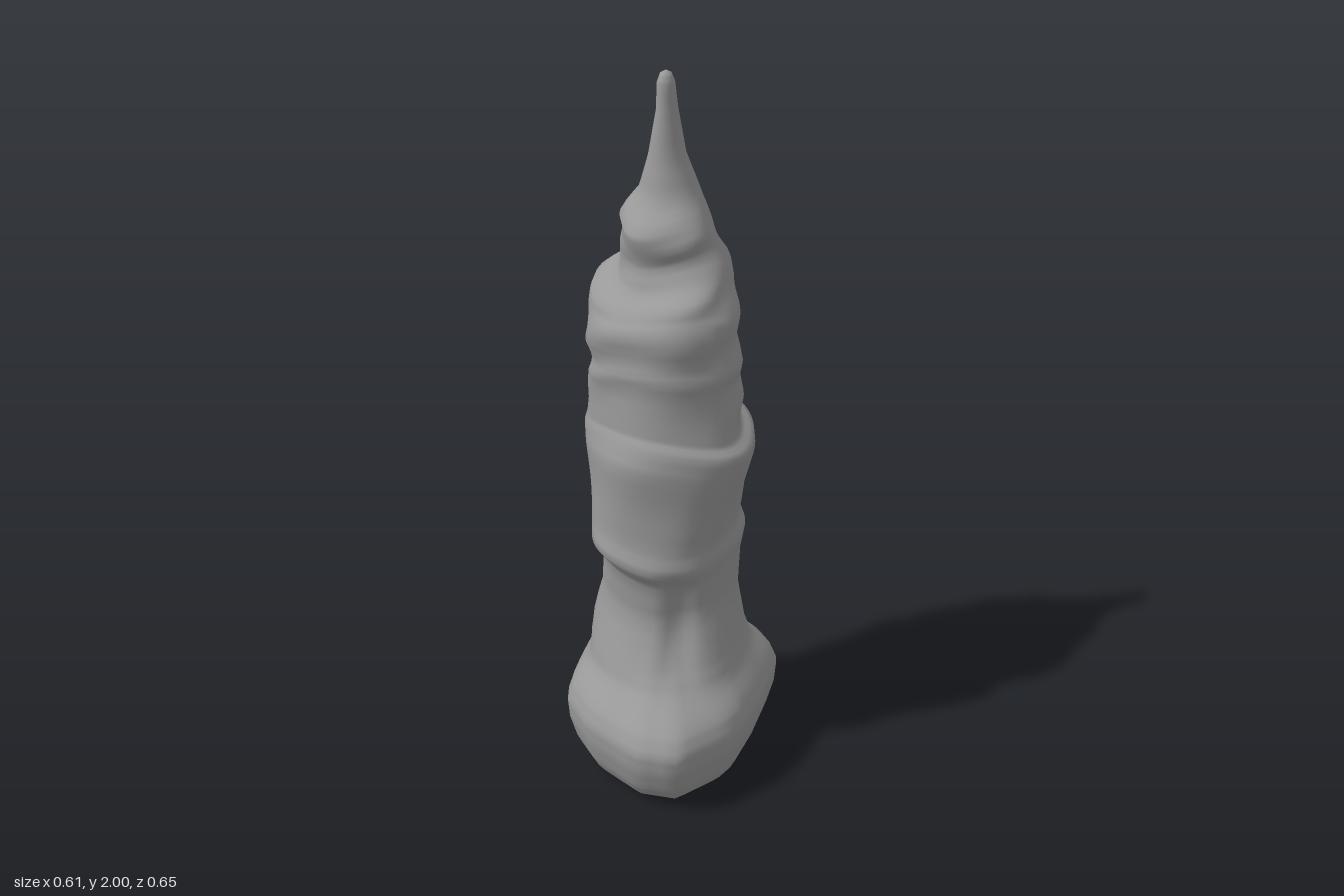
import * as THREE from 'three';

const SEG = 64, STEPS = 3;

// Cross-sections up the spire: height, reach to right (-x), left (+x), front (+z), back (-z)
const RINGS = [
  [0.03, 0.255, 0.25, 0.285, 0.265],
  [0.07, 0.278, 0.272, 0.308, 0.285],
  [0.14, 0.297, 0.302, 0.328, 0.30],
  [0.2, 0.307, 0.295, 0.325, 0.322],
  [0.25, 0.285, 0.28, 0.29, 0.315],
  [0.31, 0.25, 0.225, 0.22, 0.25],
  [0.37, 0.232, 0.2, 0.208, 0.235],
  [0.51, 0.196, 0.175, 0.165, 0.205],
  [0.63, 0.178, 0.18, 0.18, 0.2],
  [0.695, 0.188, 0.192, 0.232, 0.215],
  [0.75, 0.204, 0.186, 0.215, 0.192],
  [0.86, 0.21, 0.205, 0.215, 0.195],
  [0.97, 0.215, 0.235, 0.225, 0.218],
  [1.03, 0.23, 0.248, 0.205, 0.2],
  [1.06, 0.22, 0.214, 0.19, 0.168],
  [1.2, 0.21, 0.205, 0.19, 0.182],
  [1.26, 0.207, 0.207, 0.195, 0.16],
  [1.37, 0.214, 0.205, 0.205, 0.145],
  [1.42, 0.2, 0.19, 0.18, 0.15],
  [1.46, 0.16, 0.158, 0.122, 0.162],
  [1.52, 0.14, 0.125, 0.112, 0.15],
  [1.57, 0.12, 0.125, 0.12, 0.115],
  [1.62, 0.108, 0.1, 0.138, 0.105],
  [1.68, 0.085, 0.068, 0.07, 0.09],
  [1.78, 0.052, 0.036, 0.05, 0.052],
  [1.9, 0.025, 0.023, 0.038, 0.024],
  [1.97, 0.022, 0.02, 0.035, 0.013],
  [1.992, 0.015, 0.012, 0.026, 0.004],
];

// Outline of the spreading foot (x, z)
const FOOT = [
  [0.305, 0.1], [0.275, 0.27], [0.17, 0.327], [-0.02, 0.315], [-0.14, 0.265], [-0.18, 0.22],
  [-0.307, -0.02], [-0.22, -0.28], [-0.15, -0.325], [0.07, -0.32], [0.165, -0.28], [0.25, -0.1], [0.298, 0.03],
];

// Distance from the axis to the foot outline in a given direction
function footRadius(a) {
  const c = Math.cos(a), s = Math.sin(a);
  for (let i = 0; i < FOOT.length; i++) {
    const [x1, z1] = FOOT[i], [x2, z2] = FOOT[(i + 1) % FOOT.length];
    const dx = x2 - x1, dz = z2 - z1, den = c * dz - s * dx;
    if (Math.abs(den) < 1e-9) continue;
    const t = (x1 * dz - z1 * dx) / den, u = (x1 * s - z1 * c) / den;
    if (t > 0 && u >= -1e-6 && u <= 1 + 1e-6) return t;
  }
  return 0.3;
}

const { smoothstep, lerp } = THREE.MathUtils;
// Flat-topped bump centred on 0 with half-width w
const bump = (v, w) => Math.exp(-((v / w) ** 4));
const angleGap = (a, b) => Math.atan2(Math.sin(a - b), Math.cos(a - b));

function surfacePoint([y, right, left, front, back], a) {
  const c = Math.cos(a), s = Math.sin(a);
  // Oval section, merging into the angular foot near the ground
  const w = 1 - smoothstep(y, 0.2, 0.45);
  const r = footRadius(a) * (left + right + front + back) / 1.25;
  const x = lerp((left - right) / 2 + c * (left + right) / 2, c * r, w);
  const z = lerp((front - back) / 2 + s * (front + back) / 2, s * r, w);
  // Lumps on the shaft, and winding ridges towards the tip
  const shaft = smoothstep(y, 0.3, 0.6) * (1 - smoothstep(y, 1.55, 1.75));
  const lumps = 0.03 * shaft * Math.sin(2 * a) * Math.sin(3 * a + y * 9);
  const ridges = 0.035 * shaft * smoothstep(y, 1.05, 1.2) * Math.sin(y * 52 + a + Math.sin(3 * a));
  // Upright hollow at the back and a shallower one at the front left
  const hollows = bump(y - 0.5, 0.17) *
    (0.15 * bump(angleGap(a, -1.7), 0.28) + 0.1 * bump(angleGap(a, 0.7), 0.2));
  const f = 1 + lumps + ridges - hollows;
  // Ledges run slightly aslant around the shaft
  const slant = 0.02 * shaft * Math.sin(2 * a + y * 5);
  return [x * f, y + slant, z * f];
}

// Skins a stack of rings and closes the far end with a fan to a centre point
function skin(rings, centre) {
  const pos = rings.flat(2), idx = [];
  const last = (rings.length - 1) * SEG;
  for (let i = 0; i < SEG; i++) {
    const j = (i + 1) % SEG;
    for (let k = 0; k < last; k += SEG) {
      idx.push(k + i, k + SEG + i, k + j, k + j, k + SEG + i, k + SEG + j);
    }
    idx.push(last + i, last + SEG, last + j);
  }
  const g = new THREE.BufferGeometry();
  g.setAttribute('position', new THREE.Float32BufferAttribute([...pos, ...centre], 3));
  g.setIndex(idx);
  g.computeVertexNormals();
  return g;
}

export function createModel() {
  const group = new THREE.Group();
  group.name = 'stalagmite';
  const material = new THREE.MeshStandardMaterial({ color: 0x999999 });
  const add = (name, geometry) => {
    const mesh = new THREE.Mesh(geometry, material);
    mesh.name = name;
    group.add(mesh);
  };

  // Ridged body with its rounded tip, a few rings between each pair of sections
  const rings = [];
  for (let n = 0; n <= (RINGS.length - 1) * STEPS; n++) {
    const k = Math.floor(n / STEPS), low = RINGS[k], high = RINGS[k + 1] ?? low;
    const row = low.map((v, m) => lerp(v, high[m], (n % STEPS) / STEPS));
    rings.push(Array.from({ length: SEG }, (_, i) => surfacePoint(row, (i / SEG) * Math.PI * 2)));
  }
  add('body', skin(rings, [-0.002, 2, 0.011]));

  // Underside, bevelled from the rim to a flat sole; reversed rings make it face down
  const rim = [...rings[0]].reverse();
  const sole = rim.map(([x, , z]) => [x * 0.8, 0.004, z * 0.8]);
  add('underside', skin([rim, sole], [0, 0, 0]));

  return group;
}
